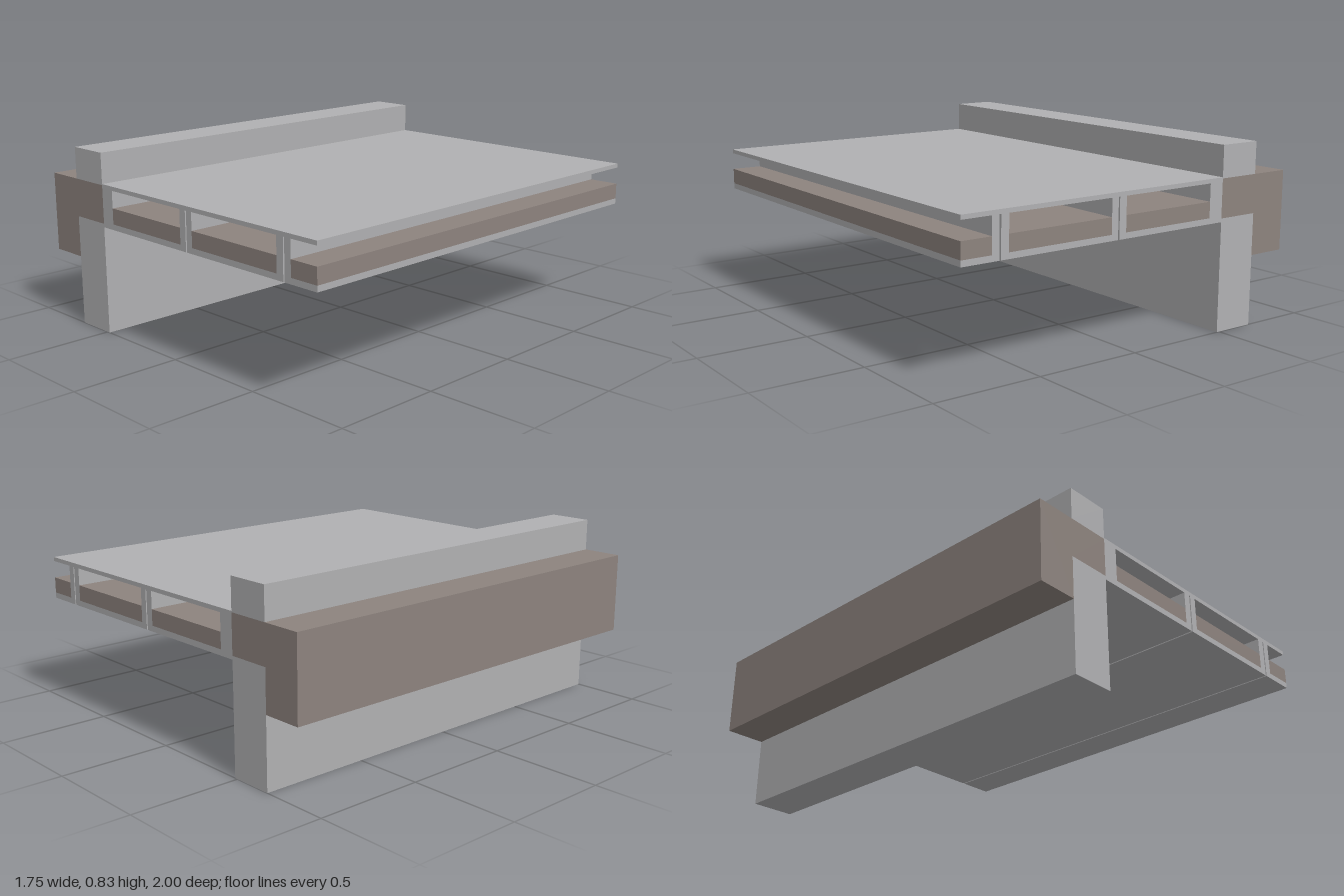
import * as THREE from 'three';

const LENGTH = 2;

export function createModel() {
  const model = new THREE.Group();
  model.name = 'floorAndWallJunction';

  const concrete = new THREE.MeshStandardMaterial({ color: 0xb0b0b2 });
  concrete.name = 'concrete grey';
  const insulation = new THREE.MeshStandardMaterial({ color: 0x8d837e });
  insulation.name = 'insulation brown';

  // Extrudes a front profile along the whole depth
  function addProfile(name, points, material) {
    const shape = new THREE.Shape(points.map(([x, y]) => new THREE.Vector2(x, y)));
    const geometry = new THREE.ExtrudeGeometry(shape, { depth: LENGTH, bevelEnabled: false });
    geometry.translate(0, 0, -LENGTH / 2);
    const mesh = new THREE.Mesh(geometry, material);
    mesh.name = name;
    model.add(mesh);
  }

  const addBar = (name, x0, x1, y0, y1, material) =>
    addProfile(name, [[x0, y0], [x1, y0], [x1, y1], [x0, y1]], material);

  // Wall below and above the bearing beam
  const wallL = -0.688, wallR = -0.486, edge = 0.873;
  addBar('lowerWall', wallL, wallR, 0, 0.51, concrete);
  addBar('upperWall', wallL, wallR, 0.685, 0.83, concrete);

  // L-shaped beam passing through the wall
  addProfile('bearingBeam', [
    [-edge, 0.32], [wallL, 0.32], [wallL, 0.51],
    [wallR, 0.51], [wallR, 0.685], [-edge, 0.685],
  ], insulation);

  // Thin deck over the troughs
  addBar('deck', wallR, edge, 0.671, 0.69, concrete);

  // Trough floor units, each with an insulation infill
  const bottom = 0.494, floor = 0.52, fill = 0.592, top = 0.671;
  const troughs = [
    { x0: wallR, x1: 0.101, in0: -0.413, in1: 0.065 },
    { x0: 0.108, x1: 0.69, in0: 0.142, in1: 0.653 },
  ];
  for (const { x0, x1, in0, in1 } of troughs) {
    addProfile('floorTrough', [
      [x0, bottom], [x1, bottom], [x1, top], [in1, top],
      [in1, floor], [in0, floor], [in0, top], [x0, top],
    ], concrete);
    addBar('troughInfill', in0, in1, floor, fill, insulation);
  }

  // Last trough is cut off at the open edge
  const x0 = 0.697, in0 = 0.732;
  addProfile('cutTrough', [
    [x0, bottom], [edge, bottom], [edge, floor],
    [in0, floor], [in0, top], [x0, top],
  ], concrete);
  addBar('cutTroughInfill', in0, edge, floor, fill, insulation);

  return model;
}
